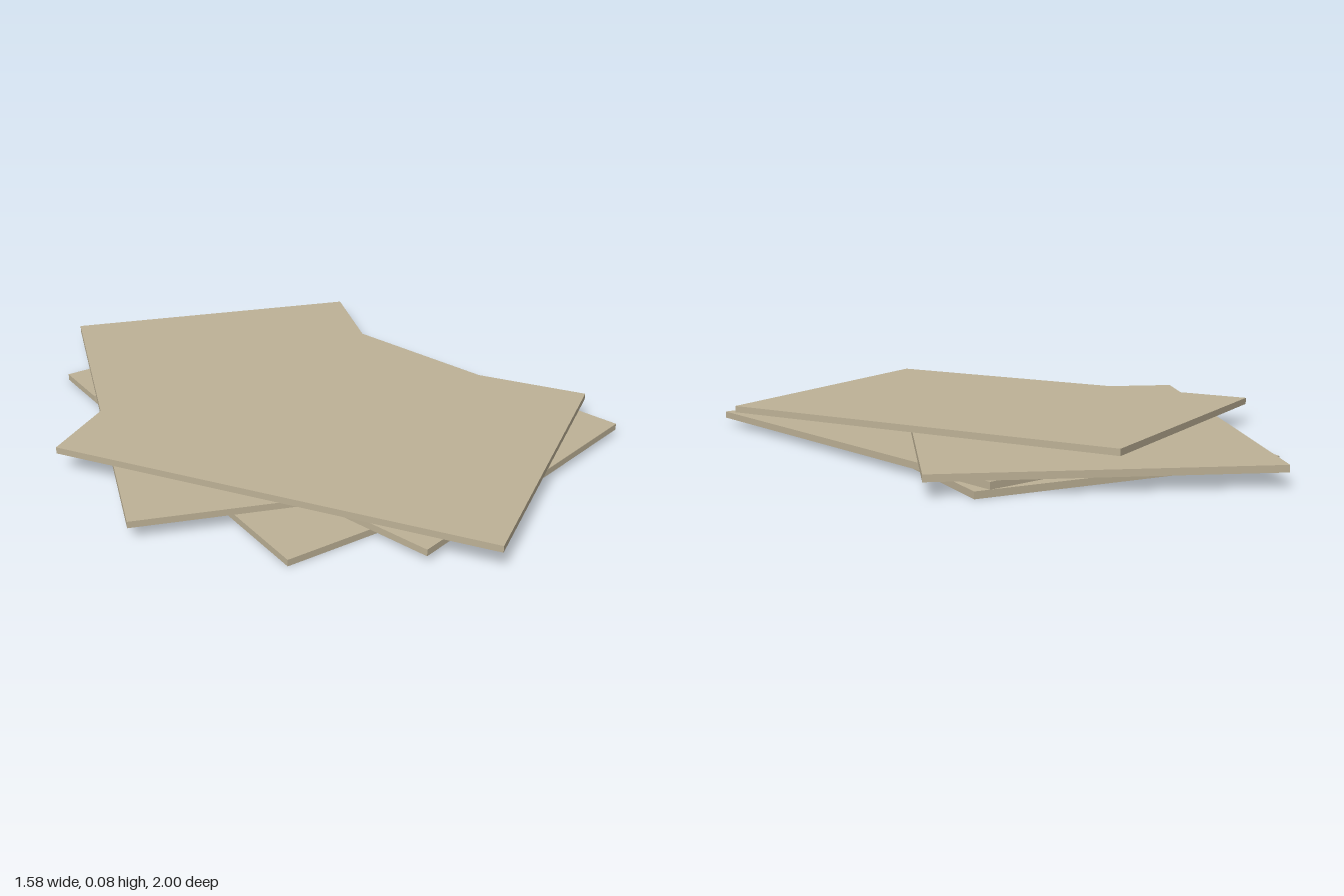
import * as THREE from 'three';

export function createModel() {
  const group = new THREE.Group();
  group.name = 'sheetStack';
  const paper = new THREE.MeshStandardMaterial({ color: 0xbdb196 });
  paper.name = 'tan paper';

  const thickness = 0.0208, pitch = 0.0213;
  const sheet = new THREE.BoxGeometry(0.982, thickness, 1.386);

  // Sheets from bottom to top: centre x, centre z, turn about y
  const layout = [
    ['bottomSheet', 0, -0.042, 0],
    ['lowerSheet', 0.139, 0.054, 0.246],
    ['upperSheet', -0.093, -0.182, -0.35],
    ['topSheet', 0, 0.146, 0.58],
  ];
  layout.forEach(([name, x, z, turn], i) => {
    const mesh = new THREE.Mesh(sheet, paper);
    mesh.name = name;
    mesh.position.set(x, i * pitch + thickness / 2, z);
    mesh.rotation.y = turn;
    group.add(mesh);
  });
  return group;
}
